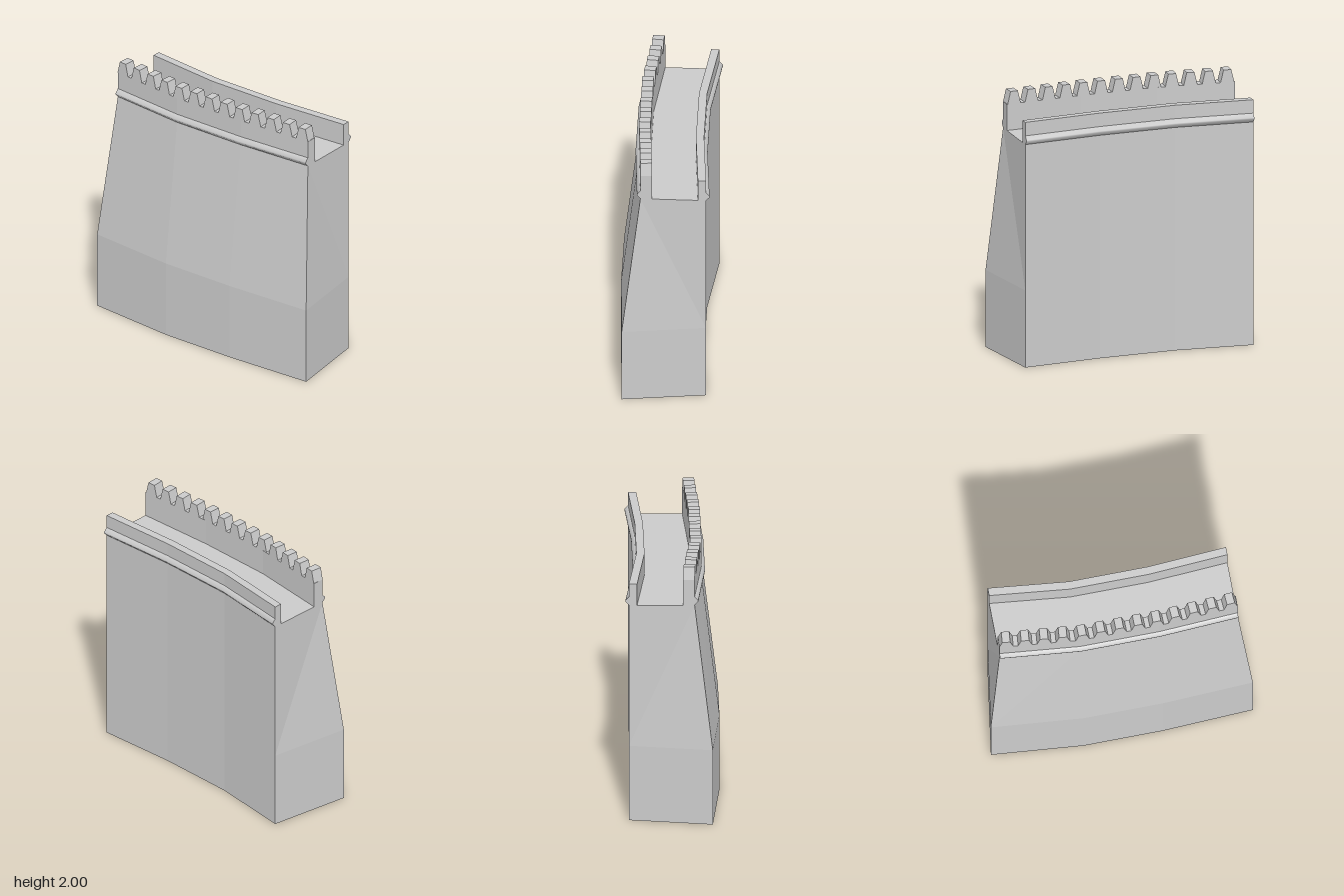
import * as THREE from 'three';
import { toCreasedNormals } from 'three/addons/utils/BufferGeometryUtils.js';

// Plan of the bent wall: x, front face z and back face z at each bend
const STATIONS = [
  { x: -0.89, f: 0.158, b: -0.325 },
  { x: -0.295, f: 0.21, b: -0.268 },
  { x: 0.295, f: 0.2, b: -0.278 },
  { x: 0.89, f: 0.158, b: -0.325 },
];

const stone = new THREE.MeshStandardMaterial({ color: 0xcccccc, flatShading: true, side: THREE.DoubleSide });
const smoothStone = new THREE.MeshStandardMaterial({ color: 0xcccccc, side: THREE.DoubleSide });

// Joins one cross-section per station; section(s) returns [x, y, z] points,
// running clockwise as seen from +x. capTris close the two ends.
function sweep(section, capTris, closed) {
  const rings = STATIONS.map(section);
  const n = rings[0].length;
  const index = [];
  for (let i = 0; i < rings.length - 1; i++) {
    for (let j = 0; j < (closed ? n : n - 1); j++) {
      const k = (j + 1) % n;
      const a = i * n + j, b = (i + 1) * n + j, c = (i + 1) * n + k, d = i * n + k;
      index.push(a, b, c, a, c, d);
    }
  }
  const last = (rings.length - 1) * n;
  for (const [a, b, c] of capTris) {
    index.push(a, b, c, last + a, last + c, last + b);
  }
  const geo = new THREE.BufferGeometry();
  geo.setAttribute('position', new THREE.Float32BufferAttribute(rings.flat(2), 3));
  geo.setIndex(index);
  geo.computeVertexNormals();
  return geo;
}

// Front face z and heading of the wall at a given x
function frontAt(x) {
  let i = 0;
  while (i < STATIONS.length - 2 && x > STATIONS[i + 1].x) i++;
  const p = STATIONS[i], q = STATIONS[i + 1];
  const slope = (q.f - p.f) / (q.x - p.x);
  return { z: p.f + slope * (x - p.x), angle: -Math.atan(slope) };
}

export function createModel() {
  const group = new THREE.Group();
  const add = (name, geo, mat, parent = group) => {
    const mesh = new THREE.Mesh(geo, mat);
    mesh.name = name;
    parent.add(mesh);
    return mesh;
  };

  // Wall with splayed front, walkway and two parapets; open underneath
  const wallSection = ({ x, f, b }) => {
    const foot = Math.abs(x) > 0.5 ? x * 1.1 : x;
    return [
      [foot, 0, f + 0.133], [foot, 0.59, f + 0.133],
      [x, 1.705, f], [x, 1.905, f],
      [x, 1.905, f - 0.085], [x, 1.705, f - 0.085],
      [x, 1.705, b + 0.06], [x, 1.875, b + 0.06],
      [x, 1.875, b], [x, 0.59, b], [x, 0, b],
    ];
  };
  const wallCaps = [
    [0, 1, 9], [0, 9, 10], [1, 2, 9], [2, 5, 9], [5, 6, 9],
    [2, 3, 4], [2, 4, 5], [6, 7, 8], [6, 8, 9],
  ];
  add('wall', sweep(wallSection, wallCaps, false), stone);

  // Rounded string courses on both faces
  const bead = [[-0.02, 1.705], [0, 1.705], [0.026, 1.733], [0.026, 1.744], [0, 1.772], [-0.02, 1.772]];
  const beadCaps = [[0, 1, 2], [0, 2, 3], [0, 3, 4], [0, 4, 5]];
  const frontBead = sweep(({ x, f }) => bead.map(([d, y]) => [x, y, f + d]), beadCaps, true);
  const backBead = sweep(({ x, b }) => [...bead].reverse().map(([d, y]) => [x, y, b - d]), beadCaps, true);
  add('frontStringCourse', toCreasedNormals(frontBead, 1.2), smoothStone);
  add('backStringCourse', toCreasedNormals(backBead, 1.2), smoothStone);

  // Tapered merlons along the front parapet
  const merlonGeo = new THREE.BoxGeometry(0.104, 0.095, 0.085);
  const pos = merlonGeo.attributes.position;
  for (let i = 0; i < pos.count; i++) {
    if (pos.getY(i) > 0) pos.setX(i, pos.getX(i) * 0.56);
  }
  merlonGeo.computeVertexNormals();
  const merlons = new THREE.Group();
  merlons.name = 'merlons';
  group.add(merlons);
  const count = 13;
  for (let i = 0; i < count; i++) {
    const x = -0.837 + (i * 1.672) / (count - 1);
    const { z, angle } = frontAt(x);
    const merlon = add('merlon', merlonGeo, stone, merlons);
    merlon.position.set(x, 1.9525, z - 0.0425);
    merlon.rotation.y = angle;
  }
  return group;
}
